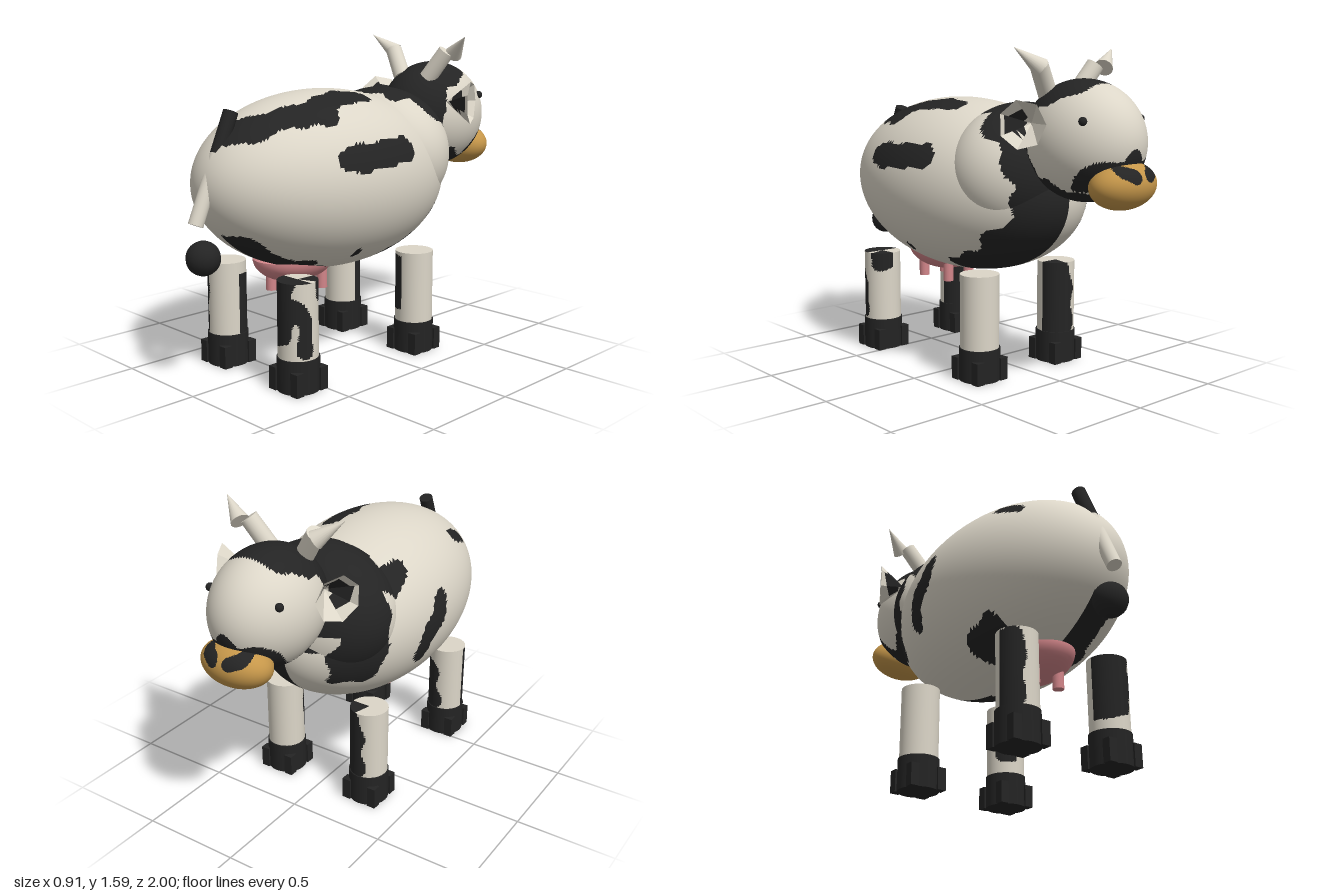
import * as THREE from 'three';

const mat = (name, color) => new THREE.MeshStandardMaterial({ name, color, side: THREE.DoubleSide });

// Projections used to brush hide patches onto a surface; null when the point is on the other side
const project = {
  side: (p) => [p.z, p.y],
  right: (p, c) => (p.x > c.x ? [p.z, p.y] : null),
  left: (p, c) => (p.x < c.x ? [p.z, p.y] : null),
  top: (p, c) => (p.y > c.y ? [p.x, p.z] : null),
  tailEnd: (p, c) => (p.z > c.z ? [p.x, p.y] : null),
  noseEnd: (p, c) => (p.z < c.z ? [p.x, p.y] : null),
};

// A patch is a brush stroke: a path with a radius and a wavy edge
function stroke(view, radius, ...path) {
  return (p, c) => {
    const uv = project[view](p, c);
    if (!uv) return false;
    const [u, v] = uv;
    const reach = radius * (1 + 0.13 * Math.sin(41 * u + 1) + 0.13 * Math.sin(37 * v));
    return path.some(([a, b], i) => {
      const [d, e] = path[Math.min(i + 1, path.length - 1)];
      const du = d - a, dv = e - b, len = du * du + dv * dv || 1;
      const t = THREE.MathUtils.clamp(((u - a) * du + (v - b) * dv) / len, 0, 1);
      return Math.hypot(u - a - t * du, v - b - t * dv) < reach;
    });
  };
}

// Sorts faces into two groups: base colour (0) and patches (1)
function paint(geo, patches) {
  geo.computeBoundingBox();
  const c = geo.boundingBox.getCenter(new THREE.Vector3());
  const pos = geo.attributes.position, index = geo.index.array, lists = [[], []];
  const p = new THREE.Vector3(), q = new THREE.Vector3();
  for (let i = 0; i < index.length; i += 3) {
    p.set(0, 0, 0);
    for (let k = 0; k < 3; k++) p.addScaledVector(q.fromBufferAttribute(pos, index[i + k]), 1 / 3);
    lists[patches.some((patch) => patch(p, c)) ? 1 : 0].push(index[i], index[i + 1], index[i + 2]);
  }
  geo.setIndex([...lists[0], ...lists[1]]);
  geo.clearGroups();
  geo.addGroup(0, lists[0].length, 0);
  geo.addGroup(lists[0].length, lists[1].length, 1);
  return geo;
}

// Ellipsoid lying along z, tilted about x
function ellipsoid(center, radii, tilt = 0, w = 96, h = 72) {
  return new THREE.SphereGeometry(1, w, h).rotateX(Math.PI / 2).scale(...radii).rotateX(tilt).translate(...center);
}

// Turns a geometry's y axis towards a direction
function aim(geo, direction) {
  return geo.applyQuaternion(new THREE.Quaternion().setFromUnitVectors(
    new THREE.Vector3(0, 1, 0), direction.normalize()));
}

// Cylinder or cone between two points
function rod(a, b, r0, r1, seg = 20) {
  const A = new THREE.Vector3(...a), B = new THREE.Vector3(...b), d = B.clone().sub(A);
  const m = A.add(B).multiplyScalar(0.5);
  return aim(new THREE.CylinderGeometry(r1, r0, d.length(), seg), d).translate(m.x, m.y, m.z);
}

// Patches shared by barrel and chest
const bodyPatches = [
  // back and right flank
  stroke('top', 0.072, [0.15, 0.12], [0.16, 0.24], [0.23, 0.43], [0.15, 0.63], [0.06, 0.76]),
  stroke('right', 0.066, [0.38, 1.06], [0.04, 1.08]),
  stroke('right', 0.04, [0.8, 0.68], [0.62, 0.55], [0.45, 0.53]),
  stroke('right', 0.025, [0.26, 0.6]),
  // collar
  stroke('right', 0.09, [-0.06, 0.48], [-0.3, 0.6], [-0.5, 0.76], [-0.56, 0.95], [-0.48, 1.15], [-0.3, 1.32]),
  stroke('top', 0.05, [-0.31, -0.05], [-0.3, -0.2]),
  stroke('top', 0.12, [-0.18, -0.24], [0.1, -0.26], [0.17, -0.4], [-0.18, -0.45]),
  // left flank and rump
  stroke('top', 0.025, [-0.29, 0.51], [-0.27, 0.64]),
  stroke('left', 0.06, [0.13, 0.99], [0, 0.79]),
  stroke('left', 0.12, [-0.32, 1.2], [-0.35, 0.85]),
  stroke('left', 0.05, [0.45, 0.62], [0.3, 0.56]),
  stroke('tailEnd', 0.06, [0.11, 0.56], [0.11, 0.66]),
];

const headPatches = [
  stroke('side', 0.088, [-0.72, 0.86], [-0.47, 0.95], [-0.39, 1.1], [-0.42, 1.28], [-0.5, 1.38], [-0.65, 1.45]),
  stroke('noseEnd', 0.08, [-0.1, 1.02], [0.1, 1.02]),
  stroke('noseEnd', 0.06, [0, 1.09]),
];

const legs = [
  ['rearLeftLeg', 0.26, 0.59, [
    stroke('tailEnd', 0.09, [0.22, 0.5], [0.22, 0.31]),
    stroke('right', 0.032, [0.67, 0.42], [0.62, 0.33], [0.62, 0.2]),
    stroke('right', 0.04, [0.53, 0.51], [0.53, 0.46])]],
  ['rearRightLeg', -0.26, 0.59, [
    stroke('tailEnd', 0.06, [-0.36, 0.16], [-0.35, 0.46]),
    stroke('noseEnd', 0.07, [-0.18, 0.4], [-0.2, 0.2])]],
  ['frontLeftLeg', 0.26, -0.21, [stroke('left', 0.05, [-0.13, 0.45], [-0.13, 0.28])]],
  ['frontRightLeg', -0.26, -0.21, [stroke('noseEnd', 0.08, [-0.19, 0.46], [-0.2, 0.2])]],
];

export function createModel() {
  const cow = new THREE.Group();
  cow.name = 'cow';
  const white = mat('cream hide', 0xdcd6c8), black = mat('black hide', 0x242424);
  const tan = mat('tan muzzle', 0xc6974a), pink = mat('pink udder', 0xd3868a);
  const hide = [white, black];
  const add = (name, geo, material) => {
    const mesh = new THREE.Mesh(geo, material);
    mesh.name = name;
    cow.add(mesh);
  };

  // Barrel, chest, head and muzzle
  add('barrel', paint(ellipsoid([0, 0.91, 0.18], [0.457, 0.438, 0.73], -0.05, 140, 110), bodyPatches), hide);
  add('chest', paint(ellipsoid([0, 1.0, -0.23], [0.385, 0.335, 0.31], 0, 110, 80), bodyPatches), hide);
  add('head', paint(ellipsoid([0, 1.17, -0.64], [0.245, 0.28, 0.31], -0.1), headPatches), hide);
  const nostrils = [-1, 1].map((s) => stroke('noseEnd', 0.032, [s * 0.05, 1.03], [s * 0.085, 1.05]));
  add('muzzle', paint(ellipsoid([0, 0.985, -0.873], [0.178, 0.11, 0.127], 0.25), nostrils), [tan, black]);

  // Eyes, horns and cupped ears
  for (const s of [1, -1]) {
    const side = s > 0 ? 'left' : 'right';
    add(side + 'Eye', new THREE.SphereGeometry(0.02, 12, 8).translate(s * 0.19, 1.27, -0.805), black);
    add(side + 'HornBase', rod([s * 0.09, 1.37, -0.495], [s * 0.185, 1.51, -0.53], 0.045, 0.043), white);
    add(side + 'HornTip', rod([s * 0.205, 1.497, -0.565], [s * 0.322, 1.588, -0.51], 0.045, 0), white);
    const ear = aim(new THREE.ConeGeometry(0.112, 0.13, 7, 8, true), new THREE.Vector3(-0.89 * s, 0, 0.456));
    ear.translate(s * 0.267, 1.25, -0.54);
    const flatEar = paint(ear, [stroke('tailEnd', 0.055, [s * 0.29, 1.26])]).toNonIndexed();
    flatEar.computeVertexNormals();
    add(side + 'Ear', flatEar, hide);
  }

  // Tail
  add('tailTop', rod([0, 1.275, 0.747], [0, 1.09, 0.826], 0.035, 0.035), black);
  add('tailLower', rod([0, 1.09, 0.826], [0, 0.785, 0.957], 0.035, 0.035), white);
  add('tailTuft', new THREE.SphereGeometry(0.08, 16, 12).translate(0, 0.63, 0.92), black);

  // Udder bowl and teats
  add('udder', new THREE.SphereGeometry(1, 32, 12, 0, Math.PI * 2, Math.PI / 2, Math.PI / 2)
    .scale(0.172, 0.125, 0.225).translate(0, 0.553, 0.375), pink);
  for (const x of [-0.07, 0.07]) for (const z of [0.26, 0.465])
    add('teat', rod([x, 0.38, z], [x, 0.5, z], 0.027, 0.027, 14), pink);

  // Legs and hooves with corner ridges
  for (const [name, x, z, patches] of legs) {
    const leg = new THREE.CylinderGeometry(0.095, 0.095, 0.42, 48, 50).translate(x, 0.31, z);
    add(name, paint(leg, patches), hide);
    add(name + 'Hoof', new THREE.CylinderGeometry(0.101, 0.101, 0.16, 24).translate(x, 0.08, z), black);
    for (const i of [-1, 1]) for (const k of [-1, 1])
      add(name + 'HoofRidge', new THREE.BoxGeometry(0.045, 0.11, 0.045)
        .translate(x + i * 0.074, 0.055, z + k * 0.074), black);
  }
  return cow;
}
